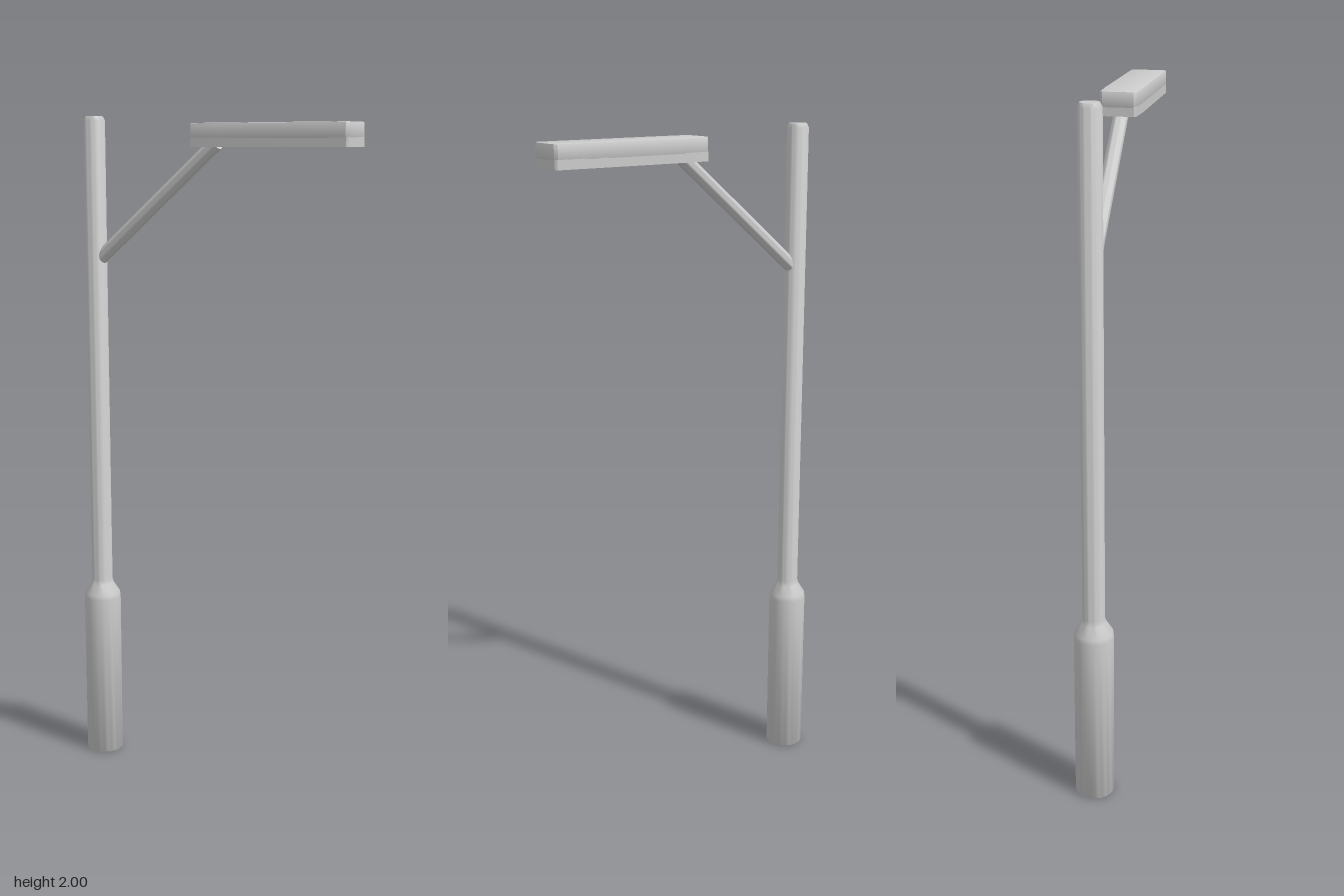
import * as THREE from 'three';
import { toCreasedNormals } from 'three/addons/utils/BufferGeometryUtils.js';

const material = new THREE.MeshStandardMaterial({ color: 0xcccccc });

function part(name, geometry) {
  const mesh = new THREE.Mesh(toCreasedNormals(geometry, 0.7), material);
  mesh.name = name;
  return mesh;
}

// Lamp plan (x, z): chamfered corners, slightly narrower at the arm end
function lampOutline(inset) {
  const x0 = -0.04 + inset, x1 = 0.455 - inset;
  const w0 = 0.05 - inset, w1 = 0.054 - inset, c = 0.005;
  const side = [[x0, w0 - c], [x0 + c, w0], [0.05, w1], [x1 - c, w1], [x1, w1 - c]];
  const points = [
    ...side.map(([x, z]) => new THREE.Vector2(x, -z)),
    ...side.reverse().map(([x, z]) => new THREE.Vector2(x, z)),
  ];
  return new THREE.Shape(points);
}

// Extrudes a plan downwards from the given height
function slab(shape, top, depth, bevel = 0) {
  return new THREE.ExtrudeGeometry(shape, {
    depth: depth - 2 * bevel,
    bevelEnabled: bevel > 0, bevelSize: bevel, bevelThickness: bevel, bevelSegments: 2,
  }).rotateX(Math.PI / 2).translate(0, top - bevel, 0);
}

function createLamp() {
  const lamp = new THREE.Group();
  lamp.name = 'lampHead';

  // Closed upper housing with softened edges
  lamp.add(part('housing', slab(lampOutline(0.004), 1.977, 0.046, 0.004)));

  // Open rim around the recessed light panel
  const rim = lampOutline(0);
  rim.holes.push(new THREE.Path([
    new THREE.Vector2(0.05, -0.041), new THREE.Vector2(0.05, 0.041),
    new THREE.Vector2(0.438, 0.041), new THREE.Vector2(0.438, -0.041),
  ]));
  lamp.add(part('rim', slab(rim, 1.937, 0.026)));
  return lamp;
}

export function createModel() {
  const model = new THREE.Group();
  model.name = 'streetLamp';

  // Pole with a wide base sleeve and tapered shoulder
  const profile = [
    [0, 0], [0.054, 0], [0.057, 0.004], [0.057, 0.515], [0.055, 0.53],
    [0.036, 0.56], [0.032, 0.575], [0.032, 1.988], [0.026, 2], [0, 2],
  ].map(([r, y]) => new THREE.Vector2(r, y));
  const pole = part('pole', new THREE.LatheGeometry(profile, 32));
  pole.position.x = -0.4;
  model.add(pole);

  // Slanted arm from the pole to the underside of the lamp
  const start = new THREE.Vector3(-0.385, 1.585, 0);
  const end = new THREE.Vector3(0.021, 1.922, 0);
  const along = end.clone().sub(start);
  const arm = part('arm', new THREE.CylinderGeometry(0.021, 0.021, along.length(), 24));
  arm.position.copy(start).add(end).multiplyScalar(0.5);
  arm.quaternion.setFromUnitVectors(new THREE.Vector3(0, 1, 0), along.normalize());
  model.add(arm);

  model.add(createLamp());
  return model;
}
